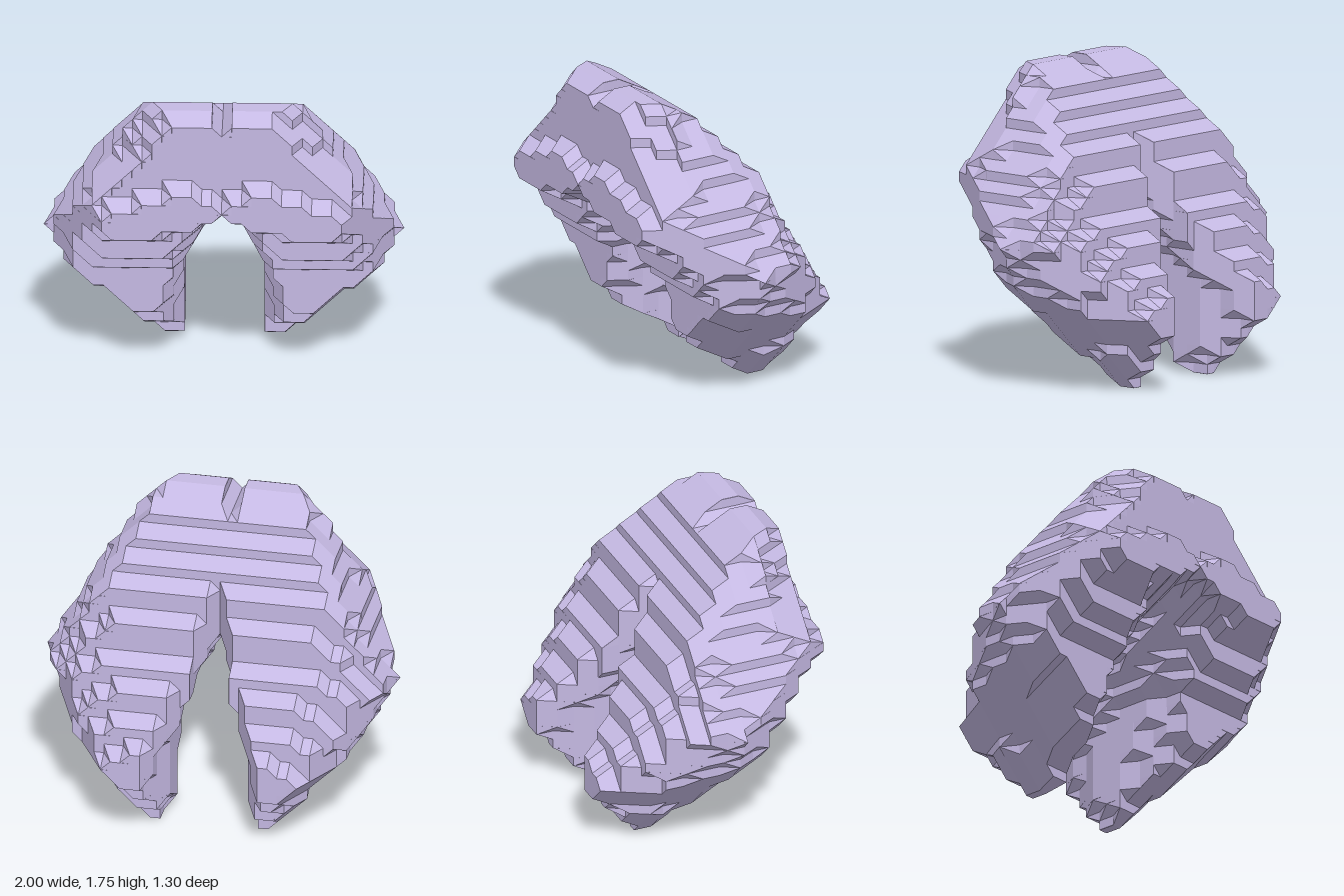
import * as THREE from 'three';

// Half cross-sections (x, y), from the top middle round the outside and the
// lower tip back up to the crotch. Matching points are blended along z.
const frontSections = [
  { z: 0.65, p: [0, 1.24, 0.18, 1.35, 0.4, 1.28, 0.71, 1.17, 0.71, 1.08, 0.65, 1.03, 0.38, 1.03, 0.18, 1.08, 0, 1.16] },
  { z: 0.55, p: [0, 1.745, 0.3, 1.745, 0.45, 1.48, 0.76, 1.2, 0.78, 1.05, 0.65, 0.94, 0.34, 0.94, 0.18, 1.06, 0, 1.13] },
  { z: 0.35, p: [0, 1.77, 0.39, 1.77, 0.54, 1.62, 0.87, 1.08, 0.87, 0.87, 0.74, 0.68, 0.27, 0.68, 0.18, 0.9, 0, 1.08] },
  { z: 0.25, p: [0, 1.745, 0.4, 1.745, 0.56, 1.57, 0.92, 0.98, 0.84, 0.64, 0.48, 0.34, 0.36, 0.34, 0.26, 0.64, 0, 1.06] },
];
const backSections = [
  { z: 0.05, p: [-0.05, 1.547, 0.52, 1.547, 0.65, 1.42, 1.01, 0.82, 0.87, 0.56, 0.44, 0.2, 0.27, 0.2, 0.2, 0.66, -0.05, 1.03] },
  { z: -0.15, p: [0.04, 1.36, 0.6, 1.36, 0.73, 1.2, 0.96, 0.86, 0.87, 0.55, 0.37, 0.04, 0.22, 0.04, 0.18, 0.66, 0.03, 0.98] },
  { z: -0.35, p: [0.1, 0.98, 0.5, 0.98, 0.69, 0.92, 0.83, 0.78, 0.78, 0.48, 0.33, -0.05, 0.235, -0.05, 0.2, 0.5, 0.1, 0.75] },
  { z: -0.65, p: [0.33, 0.55, 0.4, 0.55, 0.48, 0.53, 0.56, 0.46, 0.55, 0.38, 0.46, 0.31, 0.34, 0.31, 0.3, 0.38, 0.3, 0.46] },
];
const sections = [...frontSections, ...backSections];

// Blend the two neighbouring sections at depth z
function outlineAt(z) {
  let i = 0;
  while (i < sections.length - 2 && z < sections[i + 1].z - 1e-6) i++;
  const a = sections[i], b = sections[i + 1];
  const t = (a.z - z) / (a.z - b.z);
  return a.p.map((v, n) => v + (b.p[n] - v) * t);
}

function insideOutline(p, x, y) {
  let inside = false;
  for (let i = 0, j = p.length - 2; i < p.length; j = i, i += 2) {
    const crosses = (p[i + 1] > y) !== (p[j + 1] > y);
    if (crosses && x < p[i] + (p[j] - p[i]) * (y - p[i + 1]) / (p[j + 1] - p[i + 1])) inside = !inside;
  }
  return inside;
}

// Sample grid: fine across and up, coarse in depth, with an empty border
const size = [41, 37, 18];
const step = [1 / 18, 1.75 / 32, 0.1];
const origin = [-20 / 18, -2 * step[1], -0.85];
const index = (i, j, k) => i + size[0] * (j + size[1] * k);

function fillGrid() {
  const grid = new Uint8Array(size[0] * size[1] * size[2]);
  for (let k = 2; k < size[2] - 2; k++) {
    const z = origin[2] + k * step[2];
    const outline = outlineAt(z);
    for (let j = 1; j < size[1] - 1; j++) for (let i = 1; i < size[0] - 1; i++) {
      const x = Math.abs(origin[0] + i * step[0]);
      const y = origin[1] + j * step[1];
      // a shallow groove runs along the middle of the upper edge
      const groove = x < 0.02 && z > 0.2 && z < 0.6 ? 0.08 : 0;
      const filled = insideOutline(outline, x, y) && insideOutline(outline, x, y + groove);
      grid[index(i, j, k)] = filled ? 1 : 0;
    }
  }
  return grid;
}

// The six faces of a cell, corners as bit codes, anticlockwise from outside
const cellFaces = [];
for (let axis = 0; axis < 3; axis++) {
  const a = 1 << axis, b = 1 << ((axis + 1) % 3), c = 1 << ((axis + 2) % 3);
  cellFaces.push([a, a | b, a | b | c, a | c], [0, c, b | c, b]);
}

// Terraced skin: in every mixed cell, join the crossed edges into loops
function terracedGeometry() {
  const grid = fillGrid();
  const positions = [];

  for (let k = 0; k < size[2] - 1; k++) for (let j = 0; j < size[1] - 1; j++) for (let i = 0; i < size[0] - 1; i++) {
    const cornerOf = (c) => [i + (c & 1), j + ((c >> 1) & 1), k + (c >> 2)];
    const filled = (c) => grid[index(...cornerOf(c))];
    // an edge is written as filled corner * 8 + empty corner
    const next = new Map();
    for (const face of cellFaces) for (let n = 0; n < 4; n++) {
      if (filled(face[n]) || !filled(face[(n + 1) % 4])) continue;
      let m = n + 1;
      while (filled(face[(m + 1) % 4])) m++;
      next.set(face[(n + 1) % 4] * 8 + face[n], face[m % 4] * 8 + face[(m + 1) % 4]);
    }
    // the skin hugs the filled samples
    const pointOn = (edge) => {
      const from = cornerOf(edge >> 3), to = cornerOf(edge & 7);
      return from.map((v, n) => origin[n] + (v + (to[n] - v) * 0.02) * step[n]);
    };
    while (next.size) {
      const loop = [];
      let edge = next.keys().next().value;
      while (next.has(edge)) {
        loop.push(pointOn(edge));
        const following = next.get(edge);
        next.delete(edge);
        edge = following;
      }
      for (let n = 1; n < loop.length - 1; n++) positions.push(...loop[0], ...loop[n], ...loop[n + 1]);
    }
  }

  const geometry = new THREE.BufferGeometry();
  geometry.setAttribute('position', new THREE.Float32BufferAttribute(positions, 3));
  geometry.computeVertexNormals();
  return geometry;
}

export function createModel() {
  const model = new THREE.Group();
  model.name = 'twoLobedForm';

  // Two hanging lobes joined at the top and front
  const material = new THREE.MeshStandardMaterial({ color: 0xc5b9e3, flatShading: true });
  const body = new THREE.Mesh(terracedGeometry(), material);
  body.name = 'joinedLobes';
  model.add(body);
  return model;
}
